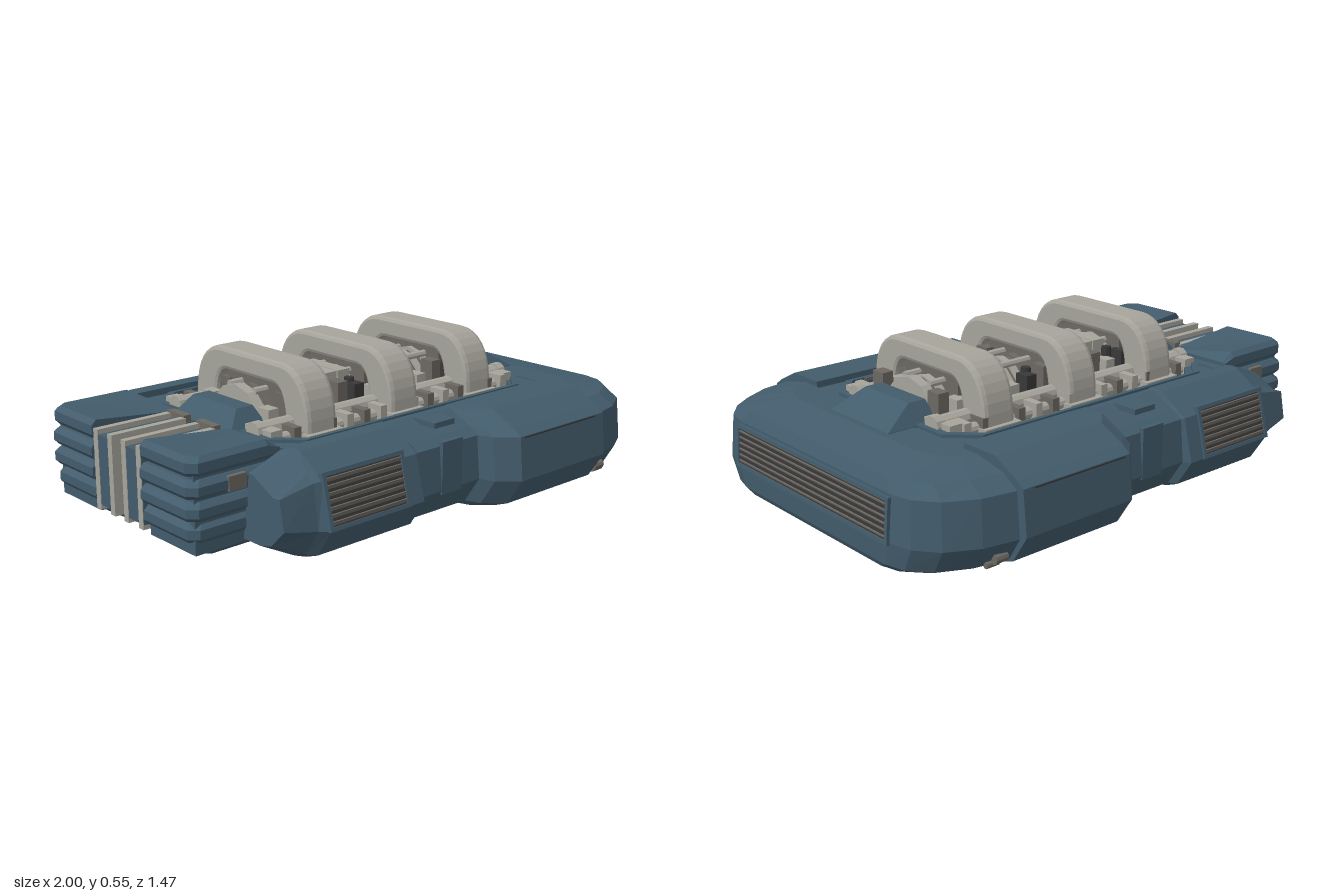
import * as THREE from 'three';

const paint = (name, color) => {
  const m = new THREE.MeshStandardMaterial({ color, flatShading: true });
  m.name = name;
  return m;
};

export function createModel() {
  const blue = paint('hull blue', 0x435c6c);
  const grey = paint('engine grey', 0xa6a49b);
  const steel = paint('dull steel', 0x6c6761);
  const dark = paint('dark recess', 0x393838);
  const model = new THREE.Group();
  model.name = 'engineUnit';

  const add = (parent, name, geo, mat, x = 0, y = 0, z = 0) => {
    const m = new THREE.Mesh(geo, mat);
    m.name = name;
    m.position.set(x, y, z);
    parent.add(m);
    return m;
  };
  const box = (p, name, mat, w, h, d, x, y, z) => add(p, name, new THREE.BoxGeometry(w, h, d), mat, x, y, z);
  const rodX = (p, name, mat, r, len, x, y, z, sides = 10) =>
    add(p, name, new THREE.CylinderGeometry(r, r, len, sides).rotateZ(Math.PI / 2), mat, x, y, z);
  const group = name => {
    const g = new THREE.Group();
    g.name = name;
    model.add(g);
    return g;
  };

  // Closed solid through matching rings of [x, y, z], with outward faces
  function loft(rings) {
    const tris = [], n = rings[0].length, last = rings.length - 1;
    for (let i = 0; i < last; i++) for (let j = 0; j < n; j++) {
      const k = (j + 1) % n, a = rings[i], b = rings[i + 1];
      tris.push([a[j], a[k], b[k]], [a[j], b[k], b[j]]);
    }
    for (let j = 1; j < n - 1; j++) {
      tris.push([rings[0][0], rings[0][j + 1], rings[0][j]]);
      tris.push([rings[last][0], rings[last][j], rings[last][j + 1]]);
    }
    let vol = 0;
    for (const [a, b, c] of tris)
      vol += new THREE.Vector3(...a).dot(new THREE.Vector3(...b).cross(new THREE.Vector3(...c)));
    if (vol < 0) tris.forEach(t => t.reverse());
    const g = new THREE.BufferGeometry();
    g.setAttribute('position', new THREE.Float32BufferAttribute(tris.flat(2), 3));
    g.computeVertexNormals();
    return g;
  }

  // Slatted vent facing +z, then turned and leaned back
  function vent(name, w, h, slats, fill, x, y, z, turn, lean) {
    const g = group(name);
    box(g, 'ventRecess', dark, w, h, 0.008, 0, 0, 0);
    for (let i = 0; i < slats; i++) {
      const s = box(g, 'ventSlat', steel, w, h / slats * fill, 0.008, 0, h * ((i + 0.5) / slats - 0.5), 0.004);
      s.rotation.x = 0.3;
    }
    for (const s of [-1, 1]) {
      box(g, 'ventFrame', blue, w + 0.03, 0.014, 0.02, 0, s * (h / 2 + 0.007), 0);
      box(g, 'ventFrame', blue, 0.014, h, 0.02, s * (w / 2 + 0.007), 0, 0);
    }
    g.position.set(x, y, z);
    g.rotation.set(-lean, turn, 0, 'YXZ');
  }

  // Lower hull and the deck rim around the engine pit
  box(model, 'lowerHull', blue, 1.32, 0.25, 0.9, 0.03, 0.127, 0);
  const octagon = (Ctor, x0, x1, z, c) => new Ctor([
    [x0 + c, -z], [x1 - c, -z], [x1, c - z], [x1, z - c], [x1 - c, z], [x0 + c, z], [x0, z - c], [x0, c - z],
  ].map(p => new THREE.Vector2(...p)));
  const rim = octagon(THREE.Shape, -0.64, 0.68, 0.422, 0.02);
  rim.holes.push(octagon(THREE.Path, -0.55, 0.62, 0.375, 0.09));
  add(model, 'deckRim', new THREE.ExtrudeGeometry(rim, { depth: 0.094, bevelEnabled: false }).rotateX(-Math.PI / 2), blue, 0, 0.24, 0);
  const lip = octagon(THREE.Shape, -0.61, 0.66, 0.4, 0.1);
  lip.holes.push(octagon(THREE.Path, -0.58, 0.63, 0.384, 0.09));
  add(model, 'deckLip', new THREE.ExtrudeGeometry(lip, { depth: 0.016, bevelEnabled: false }).rotateX(-Math.PI / 2), blue, 0, 0.33, 0);
  box(model, 'pitFloor', blue, 1.16, 0.01, 0.74, 0.03, 0.265, 0);

  // Rounded end bumper, stacked plan outlines: [height, half width, end x]
  const bumper = [[0.005, 0.6, 0.978], [0.025, 0.655, 0.988], [0.11, 0.708, 0.992], [0.27, 0.695, 0.98], [0.312, 0.63, 0.962], [0.338, 0.5, 0.8]];
  add(model, 'endBumper', loft(bumper.map(([y, z, x]) => {
    const half = [[0, 1], [0.4, 0.965], [0.75, 0.88], [0.94, 0.77], [1, 0.65]].map(([f, s]) => [0.672 + (x - 0.672) * f, y, z * s]);
    return [...half, ...half.map(([a, b, c]) => [a, b, -c]).reverse()];
  })), blue);
  vent('endVent', 0.89, 0.13, 6, 0.28, 0.988, 0.182, 0, Math.PI / 2, 0.075);

  // Tapered housings at both ends of the pit
  const wedge = (x0, x1, t0, t1) => loft([
    [[x0, 0.25, -0.19], [x1, 0.25, -0.19], [x1, 0.25, 0.19], [x0, 0.25, 0.19]],
    [[x0, 0.34, -0.17], [x1, 0.34, -0.17], [x1, 0.34, 0.17], [x0, 0.34, 0.17]],
    [[t0, 0.41, -0.125], [t1, 0.41, -0.125], [t1, 0.41, 0.125], [t0, 0.41, 0.125]],
  ]);
  add(model, 'endHousing', wedge(0.57, 0.78, 0.59, 0.66), blue);
  add(model, 'intakeHousing', wedge(-0.65, -0.49, -0.59, -0.52), blue);

  for (const s of [-1, 1]) {
    // Side pod sections: [x, outer z, bottom, top, inward lean]
    const stations = [[-0.78, 0.605, 0.07, 0.3, 0.02], [-0.65, 0.62, 0.005, 0.35, 0.025], [-0.62, 0.645, 0, 0.355, 0.04], [-0.2, 0.645, 0, 0.355, 0.04],
      [-0.19, 0.612, 0, 0.352, 0.015], [0.11, 0.612, 0, 0.352, 0.015], [0.13, 0.67, 0, 0.354, 0.015], [0.2, 0.735, 0, 0.355, 0.015], [0.668, 0.735, 0, 0.355, 0.015]];
    add(model, 'sidePod', loft(stations.map(([x, z, b, t, lean]) => [
      [x, b, s * 0.4], [x, b, s * (z - 0.12)], [x, b + (t - b) * 0.06, s * (z - 0.065)], [x, b + (t - b) * 0.34, s * z],
      [x, b + (t - b) * 0.79, s * (z - lean)], [x, t - 0.05, s * (z - lean - 0.035)], [x, t, s * (z - 0.15)], [x, t, s * 0.433], [x, 0.2, s * 0.433],
    ])), blue);
    vent('sideVent', 0.33, 0.165, 7, 0.5, -0.445, 0.213, s * 0.62, s > 0 ? 0 : Math.PI, 0.24);

    // Recessed waist panels and pod trim
    box(model, 'waistPanel', blue, 0.1, 0.19, 0.02, -0.03, 0.2, s * 0.602);
    box(model, 'waistCap', blue, 0.1, 0.02, 0.1, -0.03, 0.344, s * 0.52);
    box(model, 'podSeam', dark, 0.4, 0.005, 0.005, 0.42, 0.275, s * 0.719);
    rodX(model, 'drainFitting', steel, 0.018, 0.05, 0.72, 0.05, s * 0.665);
    rodX(model, 'drainFitting', steel, 0.012, 0.05, 0.74, 0.03, s * 0.65);

    // Stacked fin blocks at the intake end: [bottom, top, end x, outer z]
    const fins = [[0.012, 0.09, -0.95, 0.39], [0.1, 0.165, -0.99, 0.415], [0.176, 0.238, -1, 0.425], [0.249, 0.311, -1, 0.425], [0.322, 0.388, -0.995, 0.42]];
    fins.forEach(([b, t, x, z], i) => {
      const ring = (y, k) => [[-0.6, y, s * 0.145], [x + k, y, s * 0.145], [x + k, y, s * (z - 0.03 - k)],
        [x + 0.03 + k, y, s * (z - k)], [-0.7, y, s * (z - k)], [-0.6, y, s * (z - k)]];
      const rings = [ring(b, i ? 0.012 : 0.07), ring(b + (i ? 0.015 : 0.045), 0), ring(t - 0.018, 0), ring(t, 0.018)];
      if (i === 4) rings.forEach(r => { r[0][0] = r[5][0] = -0.64; r[4][0] = -0.69; r[0][1] = r[5][1] = Math.min(r[0][1], 0.355); });
      add(model, 'intakeFin', loft(rings), blue);
    });
    box(model, 'finCore', blue, 0.37, 0.28, 0.25, -0.785, 0.2, s * 0.275);
    box(model, 'finClamp', steel, 0.07, 0.05, 0.02, -0.82, 0.28, s * 0.42);

    // Bands between the fin blocks
    box(model, 'bandCore', blue, 0.38, 0.25, 0.115, -0.8, 0.22, s * 0.086);
    for (const z of [0.041, 0.128]) box(model, 'intakeBand', grey, 0.3, 0.285, 0.026, -0.842, 0.22, s * z);
    box(model, 'bandClip', steel, 0.03, 0.3, 0.1, -0.68, 0.22, s * 0.085);
  }
  box(model, 'intakeRoot', blue, 0.16, 0.33, 0.34, -0.69, 0.17, 0);

  // Engine: ribbed drum with manifold pipes
  const engine = group('engine');
  box(engine, 'engineBed', steel, 1.06, 0.03, 0.6, 0.03, 0.28, 0);
  rodX(engine, 'drum', steel, 0.125, 1.04, 0.03, 0.315, 0, 12);
  for (let i = 0; i < 19; i++) {
    const wide = i % 3 === 0;
    rodX(engine, 'drumRib', i % 3 === 1 ? steel : grey, wide ? 0.14 : 0.132, wide ? 0.04 : 0.03, -0.48 + i * 0.057, 0.315, 0, 12);
  }
  for (let i = 0; i < 4; i++) box(engine, 'drumCover', grey, 0.056, 0.06, 0.2, -0.262 + i * 0.062, 0.425, 0);
  for (const s of [-1, 1]) {
    rodX(engine, 'upperPipe', grey, 0.03, 1.18, 0.03, 0.35, s * 0.225);
    rodX(engine, 'outerPipe', grey, 0.022, 1.12, 0.03, 0.325, s * 0.28);
    rodX(engine, 'topRail', grey, 0.014, 1.0, 0.03, 0.438, s * 0.07, 8);
    for (const x of [-0.56, 0.6]) {
      box(engine, 'pipeBracket', grey, 0.05, 0.07, 0.14, x, 0.33, s * 0.235);
      rodX(engine, 'pipeCap', grey, 0.036, 0.035, x * 1.04, 0.35, s * 0.225);
    }
    for (let i = 0; i < 14; i++) {
      const x = -0.48 + i * 0.08, h = 0.11 + 0.02 * ((i * 5) % 3);
      box(engine, 'valvePost', [grey, steel, dark][i % 3], 0.045, h, 0.06, x, 0.29 + h / 2, s * 0.16);
      box(engine, 'pipeClamp', i % 2 ? grey : steel, 0.03, 0.06, 0.13, x, 0.335, s * 0.255);
    }
    for (const x of [-0.27, -0.08, 0.14, 0.32])
      add(engine, 'injector', new THREE.CylinderGeometry(0.018, 0.026, 0.15, 8), dark, x, 0.36, s * 0.135);
    for (const x of [-0.17, 0.22]) box(engine, 'pitPlate', steel, 0.22, 0.02, 0.05, x, 0.285, s * 0.335);
    box(engine, 'pitStrip', steel, 0.28, 0.02, 0.015, 0.35, 0.335, s * 0.385);
  }

  // Three bridging ducts
  const arch = new THREE.Shape();
  arch.moveTo(-0.307, 0.28);
  arch.lineTo(-0.305, 0.37);
  arch.bezierCurveTo(-0.3, 0.47, -0.25, 0.537, -0.17, 0.537);
  arch.lineTo(0.17, 0.537);
  arch.bezierCurveTo(0.25, 0.537, 0.3, 0.47, 0.305, 0.37);
  arch.lineTo(0.307, 0.28);
  arch.lineTo(0.215, 0.28);
  arch.lineTo(0.212, 0.36);
  arch.bezierCurveTo(0.205, 0.44, 0.18, 0.486, 0.13, 0.486);
  arch.lineTo(-0.13, 0.486);
  arch.bezierCurveTo(-0.18, 0.486, -0.205, 0.44, -0.212, 0.36);
  arch.lineTo(-0.215, 0.28);
  arch.closePath();
  const archGeo = new THREE.ExtrudeGeometry(arch, { depth: 0.1, bevelThickness: 0.018, bevelSize: 0.015, bevelSegments: 2, curveSegments: 8 })
    .translate(0, 0, -0.05).rotateY(Math.PI / 2);
  for (const x of [-0.37, 0.025, 0.42]) {
    add(engine, 'bridgeDuct', archGeo, grey, x, 0, 0);
    box(engine, 'ductCore', steel, 0.09, 0.16, 0.3, x, 0.4, 0);
    for (const s of [-1, 1]) box(engine, 'ductFoot', grey, 0.16, 0.06, 0.13, x, 0.3, s * 0.275);
  }
  return model;
}
